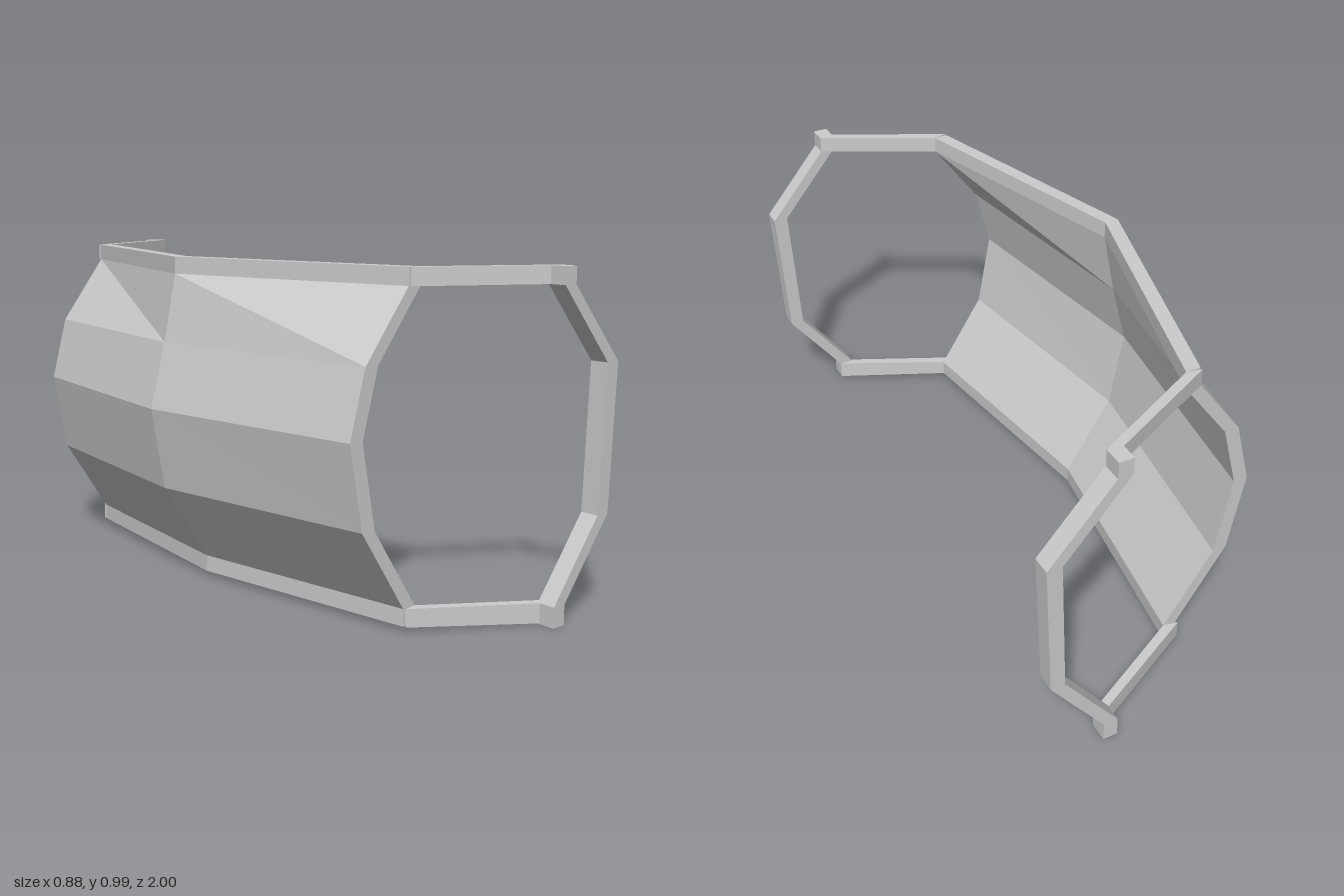
import * as THREE from 'three';

// Lofts closed rings of [x, y, z] corners; the caps pair corner i with its opposite.
// Faces are turned outward using the sign of the enclosed volume.
function loft(name, rings, material) {
  const n = rings[0].length;
  const tris = [];
  const quad = (a, b, c, d) => tris.push([a, b, c], [a, c, d]);
  for (let s = 0; s < rings.length - 1; s++) {
    for (let i = 0; i < n; i++) {
      const j = (i + 1) % n;
      quad(rings[s][i], rings[s][j], rings[s + 1][j], rings[s + 1][i]);
    }
  }
  const first = rings[0], last = rings[rings.length - 1];
  for (let i = 0; i < n / 2 - 1; i++) {
    const o = n - 1 - i;
    quad(first[i], first[o], first[o - 1], first[i + 1]);
    quad(last[i], last[i + 1], last[o - 1], last[o]);
  }
  const v = (p) => new THREE.Vector3(...p);
  const volume = tris.reduce((sum, [a, b, c]) => sum + v(a).dot(v(b).cross(v(c))), 0);
  if (volume < 0) tris.forEach((t) => t.reverse());
  const geometry = new THREE.BufferGeometry();
  geometry.setAttribute('position', new THREE.Float32BufferAttribute(tris.flat(2), 3));
  geometry.computeVertexNormals();
  const mesh = new THREE.Mesh(geometry, material);
  mesh.name = name;
  return mesh;
}

export function createModel() {
  const group = new THREE.Group();
  group.name = 'curvedFrame';
  const material = new THREE.MeshStandardMaterial({ color: 0xcccccc, flatShading: true });

  // Faceted shell: [x at the ends, x in the middle, y], top to bottom
  const profile = [
    [-0.137, -0.35, 0.99], [-0.137, -0.35, 0.94], [-0.285, -0.39, 0.74],
    [-0.336, -0.44, 0.545], [-0.29, -0.395, 0.3], [-0.137, -0.243, 0.065], [-0.137, -0.243, 0.015],
  ];
  const thickness = 0.044;
  const shellRing = (middle, z) => {
    const outer = profile.map((p) => [p[middle ? 1 : 0], p[2], z]);
    const inner = outer.map(([x, y]) => [x + thickness, y, z]).reverse();
    return [...outer, ...inner];
  };
  group.add(loft('shell', [shellRing(false, -0.765), shellRing(true, 0), shellRing(false, 0.765)], material));

  // End hoops, mirrored front and back
  const zIn = 0.943, zOut = 1;
  const x0 = 0.206, x1 = 0.25;
  for (const [side, s] of [['front', 1], ['back', -1]]) {
    const hoop = new THREE.Group();
    hoop.name = side + 'Hoop';

    // Arms running from the shell corners out to the hoop
    const armRing = (xa, za, xb, zb, low, high) =>
      [[xa, high, za * s], [xa, low, za * s], [xb, low, zb * s], [xb, high, zb * s]];
    const arm = (name, shellLow, shellHigh, low, high) => loft(name, [
      armRing(-0.137, 0.775, -0.093, 0.765, shellLow, shellHigh),
      armRing(x0, 0.95, x1, zIn, low, high),
    ], material);
    hoop.add(arm('upperArm', 0.94, 0.99, 0.94, 0.99));
    hoop.add(arm('lowerArm', 0.015, 0.067, 0.002, 0.06));

    // Bent strut with its square end blocks
    const path = [
      [x0, x1, 0.99], [x0, x1, 0.94], [0.395, 0.44, 0.72],
      [0.378, 0.421, 0.292], [x0, x1, 0.06], [x0, x1, 0],
    ];
    const rings = path.map(([a, b, y]) =>
      [[a, y, zIn * s], [b, y, zIn * s], [b, y, zOut * s], [a, y, zOut * s]]);
    hoop.add(loft('strut', rings, material));
    group.add(hoop);
  }
  return group;
}
